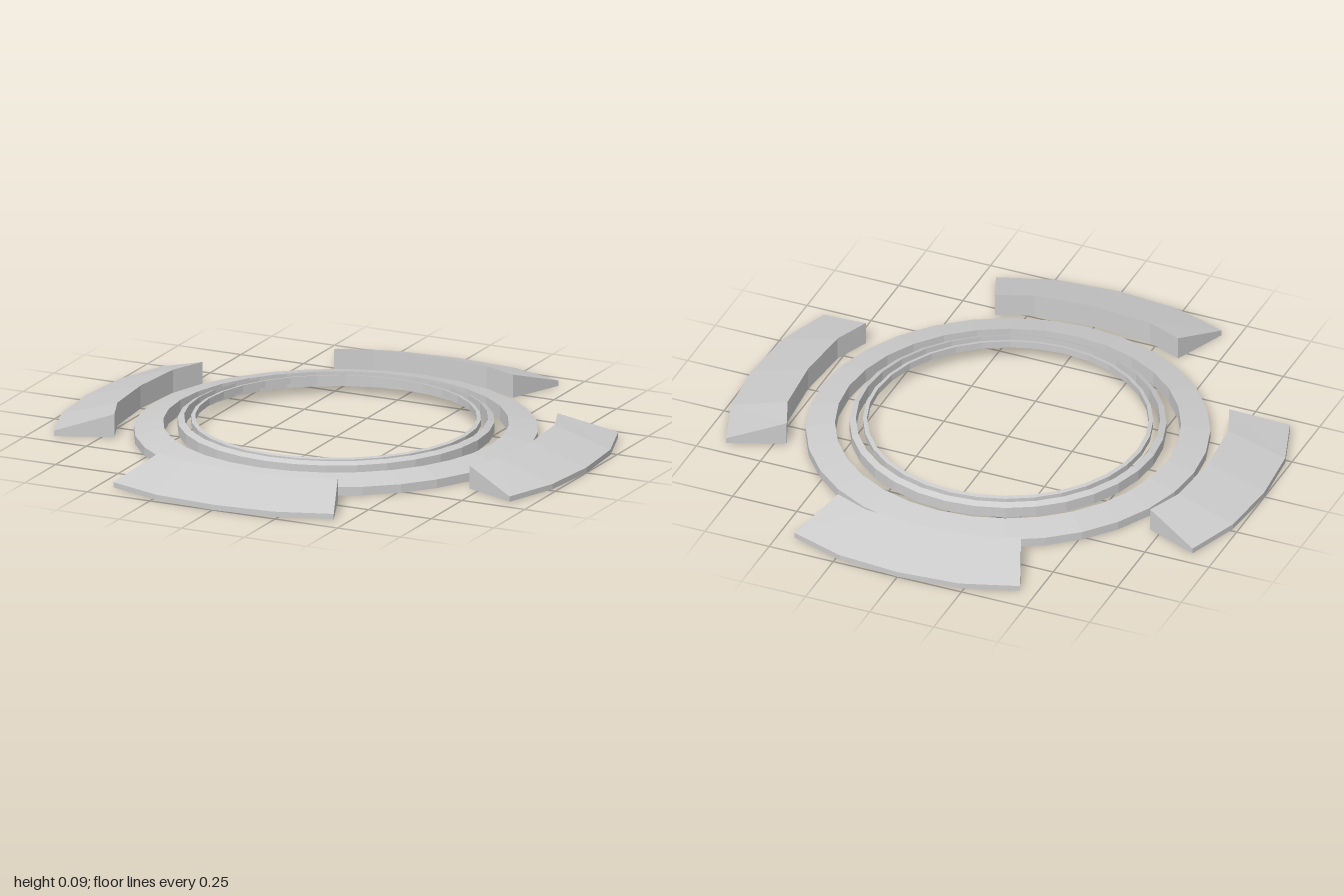
import * as THREE from 'three';

const material = new THREE.MeshStandardMaterial({ color: 0xcccccc, flatShading: true });

// Closed ring turned from a cross-section: outer wall, sloped top, inner wall, flat base
function makeRing(name, inner, outer, base, outerTop, innerTop) {
  const profile = [
    [outer, base], [outer, outerTop], [inner, innerTop], [inner, base], [outer, base],
  ].map(([r, y]) => new THREE.Vector2(r, y));
  const mesh = new THREE.Mesh(new THREE.LatheGeometry(profile, 32), material);
  mesh.name = name;
  return mesh;
}

// Curved ramp: four-cornered sections, tall at the inner side and thin at the outer rim
function makeRampGeometry() {
  const stations = [ // outer x, outer z, inner x, inner z
    [-0.44, 0.91, -0.357, 0.709],
    [-0.235, 0.98, -0.225, 0.762],
    [0, 1, 0, 0.78],
    [0.235, 0.98, 0.225, 0.762],
    [0.44, 0.91, 0.357, 0.709],
  ];
  const positions = [];
  const indices = [];
  for (const [ox, oz, ix, iz] of stations) {
    positions.push(ox, 0, oz, ox, 0.02, oz, ix, 0.086, iz, ix, 0, iz);
  }
  for (let i = 0; i < stations.length - 1; i++) {
    for (let k = 0; k < 4; k++) {
      const a = i * 4 + k;
      const b = i * 4 + (k + 1) % 4;
      indices.push(a, a + 4, b + 4, a, b + 4, b);
    }
  }
  // End caps
  const e = (stations.length - 1) * 4;
  indices.push(0, 1, 2, 0, 2, 3);
  indices.push(e, e + 3, e + 2, e, e + 2, e + 1);

  const indexed = new THREE.BufferGeometry();
  indexed.setAttribute('position', new THREE.Float32BufferAttribute(positions, 3));
  indexed.setIndex(indices);
  const geometry = indexed.toNonIndexed();
  geometry.computeVertexNormals();
  return geometry;
}

export function createModel() {
  const model = new THREE.Group();
  model.name = 'ringPlatform';

  // Concentric rings, stepping up towards the centre
  model.add(makeRing('outerRing', 0.62, 0.725, 0, 0.032, 0.055));
  model.add(makeRing('middleRing', 0.545, 0.568, 0.025, 0.065, 0.075));
  model.add(makeRing('innerRing', 0.505, 0.52, 0.05, 0.073, 0.076));

  // Four ramps around the rings
  const rampGeometry = makeRampGeometry();
  ['frontRamp', 'leftRamp', 'backRamp', 'rightRamp'].forEach((name, i) => {
    const ramp = new THREE.Mesh(rampGeometry, material);
    ramp.name = name;
    ramp.rotation.y = i * Math.PI / 2;
    model.add(ramp);
  });

  return model;
}
